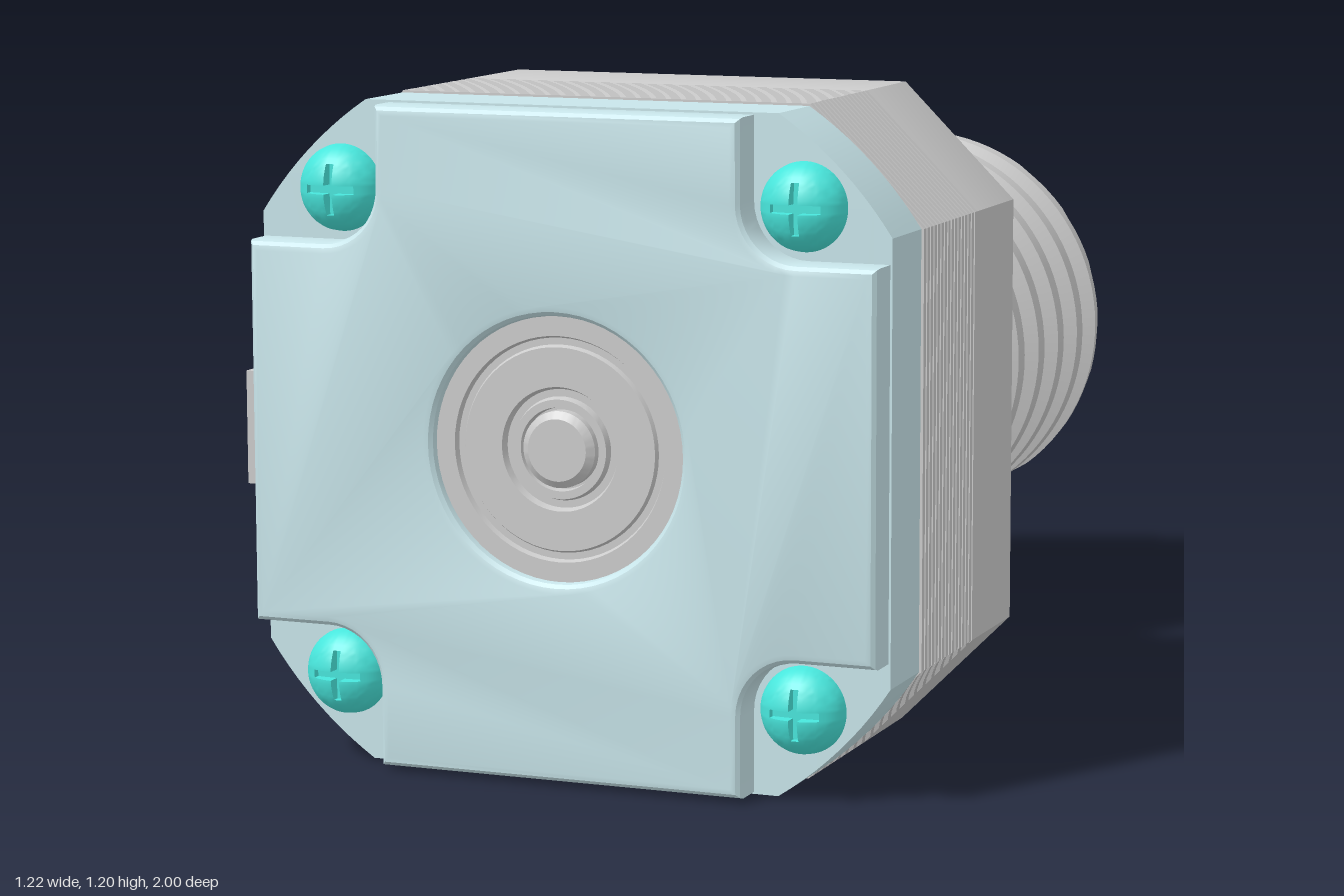
import * as THREE from 'three';
import { toCreasedNormals } from 'three/addons/utils/BufferGeometryUtils.js';
import { ParametricGeometry } from 'three/addons/geometries/ParametricGeometry.js';

const grey = new THREE.MeshStandardMaterial({ color: 0xcccccc });
const greyThin = new THREE.MeshStandardMaterial({ color: 0xcccccc, side: THREE.DoubleSide });
const pale = new THREE.MeshStandardMaterial({ color: 0xc8e5ea });
const teal = new THREE.MeshStandardMaterial({ color: 0x48e6dc });

const V = (x, y) => new THREE.Vector2(x, y);

function add(parent, name, geometry, material = grey, crease = 0.5) {
  const mesh = new THREE.Mesh(toCreasedNormals(geometry, crease), material);
  mesh.name = name;
  parent.add(mesh);
  return mesh;
}

// Extrusion along z from z0 to z1; the bevel stays inside the outline
function extrude(shape, z0, z1, bevel = 0) {
  const g = new THREE.ExtrudeGeometry(shape, {
    depth: z1 - z0 - 2 * bevel, curveSegments: 32, bevelEnabled: bevel > 0,
    bevelThickness: bevel, bevelSize: bevel, bevelOffset: -bevel, bevelSegments: 3,
  });
  return g.translate(0, 0, z0 + bevel);
}

// Lathe around z; points are [radius, z]
const lathe = (pts, n = 64) =>
  new THREE.LatheGeometry(pts.map(([r, z]) => V(r, z)), n).rotateX(Math.PI / 2);

function circleHole(shape, x, y, r) {
  shape.holes.push(new THREE.Path().absarc(x, y, r, 0, Math.PI * 2, true));
}

// Repeats one corner's points around the four corners
function fourfold(corner) {
  const pts = [];
  for (let k = 0; k < 4; k++)
    for (const p of corner) pts.push(p.clone().rotateAround(V(0, 0), k * Math.PI / 2));
  return pts;
}

const octagon = (h, c = 0.39) => new THREE.Shape(fourfold([V(h, c), V(c, h)]));

const SCREW = 0.438;
const corners = [[1, 1], [-1, 1], [-1, -1], [1, -1]].map(([x, y]) => [x * SCREW, y * SCREW]);

// Domed screw head with a sunken cross: a square grid mapped onto a disc
function screwHead() {
  const R = 0.078, w = 0.1, l = 0.58;
  const half = [0.05, w, w + 0.004, 0.2, 0.3, 0.42, 0.5, l, l + 0.004, 0.7, 0.8, 0.9, 0.96, 1];
  const lines = [...half.map(v => -v).reverse(), 0, ...half];
  const n = lines.length - 1;
  const g = new THREE.PlaneGeometry(n, n, n, n);
  const p = g.attributes.position;
  for (let i = 0; i < p.count; i++) {
    const u = lines[Math.round(p.getX(i) + n / 2)], v = lines[Math.round(p.getY(i) + n / 2)];
    const x = u * Math.sqrt(1 - v * v / 2), y = v * Math.sqrt(1 - u * u / 2);
    const a = Math.abs(u), b = Math.abs(v);
    const inCross = (a <= w && b <= l) || (b <= w && a <= l);
    const dome = 0.06 * Math.sqrt(Math.max(0, 1 - x * x - y * y));
    p.setXYZ(i, x * R, y * R, inCross ? 0.035 : dome);
  }
  return g;
}

function buildMotor() {
  const motor = new THREE.Group();
  motor.name = 'motor';

  // End bell with four threaded mounting holes
  const bell = octagon(0.6);
  for (const [x, y] of corners) circleHole(bell, x, y, 0.042);
  add(motor, 'endBell', extrude(bell, 0.26, 0.5, 0.012));
  const thread = [];
  for (let i = 0; i <= 16; i++) thread.push([i % 2 ? 0.034 : 0.043, 0.28 + i * 0.011]);
  for (const [x, y] of corners)
    add(motor, 'mountingThread', lathe(thread, 20), greyThin).position.set(x, y, 0);

  // Laminated stator stack
  add(motor, 'statorCore', extrude(octagon(0.588, 0.385), 0.47, 0.785));
  const plates = 16, pitch = 0.3 / plates;
  for (let i = 0; i < plates; i++)
    add(motor, 'statorPlate', extrude(octagon(0.6), 0.48 + i * pitch + 0.003, 0.48 + (i + 1) * pitch - 0.003));

  // Cover base with arc corners and a side slot for the connector
  const arc = [];
  const a0 = Math.atan2(0.39, 0.596), rad = Math.hypot(0.39, 0.596);
  for (let i = 0; i <= 10; i++) {
    const a = a0 + (Math.PI / 2 - 2 * a0) * i / 10;
    arc.push(V(rad * Math.cos(a), rad * Math.sin(a)));
  }
  const outline = fourfold(arc);
  outline.splice(22, 0, V(-0.596, 0.105), V(-0.46, 0.105), V(-0.46, -0.1), V(-0.596, -0.1));
  add(motor, 'coverBase', extrude(new THREE.Shape(outline), 0.78, 0.93), pale);

  // Raised cover face with scooped corners and bearing opening
  const h = 0.592, n = 0.345, c = 0.445;
  const scoop = [V(h, n)];
  for (let i = 0; i <= 10; i++) {
    const a = -Math.PI / 2 - i * Math.PI / 20;
    scoop.push(V(c + (c - n) * Math.cos(a), c + (c - n) * Math.sin(a)));
  }
  scoop.push(V(n, h));
  const face = new THREE.Shape(fourfold(scoop));
  circleHole(face, 0, 0, 0.235);
  add(motor, 'coverFace', extrude(face, 0.9, 1, 0.018), pale);

  // Bearing rings and rear shaft end
  add(motor, 'bearing', lathe([
    [0.24, 0.92], [0.24, 0.98], [0.2, 0.98], [0.196, 0.97], [0.184, 0.97], [0.18, 0.978],
    [0.11, 0.978], [0.105, 0.965], [0.092, 0.965], [0.088, 0.978], [0.074, 0.978], [0.072, 0.96],
    [0.068, 0.96], [0.068, 0.98], [0.055, 0.99], [0, 0.99],
  ]));

  // Cover screws
  const head = screwHead();
  for (const [x, y] of corners) add(motor, 'coverScrew', head, teal).position.set(x, y, 0.93);

  // Connector frame on the side (shape drawn in z, y)
  const frame = new THREE.Shape([V(-0.97, -0.1), V(-0.775, -0.1), V(-0.775, 0.105), V(-0.97, 0.105)]);
  frame.holes.push(new THREE.Path([V(-0.925, -0.06), V(-0.925, 0.065), V(-0.82, 0.065), V(-0.82, -0.06)]));
  add(motor, 'connector', extrude(frame, -0.615, -0.46).rotateY(Math.PI / 2).scale(1, 1, 1));

  // Pilot boss and output shaft
  add(motor, 'pilotBoss', lathe([[0, 0.2], [0.303, 0.2], [0.309, 0.206], [0.309, 0.28]]));
  add(motor, 'shaft', lathe([[0, 0.05], [0.067, 0.05], [0.067, 0.22]], 40));
  return motor;
}

function buildWorm() {
  const worm = new THREE.Group();
  worm.name = 'worm';

  // Single-start thread, clipped by a cone at each end
  const pitch = 0.134, root = 0.295, tip = 0.395, turns = 9;
  add(worm, 'wormThread', new ParametricGeometry((u, v, out) => {
    const a = u * Math.PI * 2;
    const t = -7.5 + v * turns;
    const f = Math.abs(t - Math.round(t));
    const z = THREE.MathUtils.clamp(-0.268 + pitch * (t + u), -1, -0.15);
    const r = Math.min(
      root + (tip - root) * THREE.MathUtils.clamp((0.4 - f) / 0.25, 0, 1),
      0.295 + (z + 1) * 1.6,
      0.28 + (-0.15 - z) * 2);
    out.set(r * Math.cos(a), r * Math.sin(a), z);
  }, 96, 20 * turns), grey, 0.6);

  // End face with centre bore
  add(worm, 'wormEnd', lathe([[0, -0.8], [0.055, -0.8], [0.055, -1], [0.295, -1]], 96));

  // Hub with a flat on top
  const R = 0.28, cut = 0.16, flat = 0.22;
  add(worm, 'hubCollar', lathe([[0, -0.17], [R, -0.17], [R, -0.125], [0, -0.125]]));
  const s = Math.asin(cut / R);
  const hub = new THREE.Shape().absarc(0, 0, R, Math.PI - s, Math.PI * 2 + s, false);
  add(worm, 'hub', extrude(hub, -0.13, 0.12));

  // Flat pad whose sides follow the hub, with the set screw hole
  const pad = new THREE.Shape([V(-0.23, -0.12), V(0.23, -0.12), V(0.23, 0.13), V(-0.23, 0.13)]);
  circleHole(pad, 0, 0, 0.055);
  const g = new THREE.ExtrudeGeometry(pad, { depth: flat - cut, steps: 5, bevelEnabled: false, curveSegments: 24 });
  g.rotateX(-Math.PI / 2).translate(0, cut, 0);
  const p = g.attributes.position;
  for (let i = 0; i < p.count; i++) {
    const x = p.getX(i), y = p.getY(i);
    if (Math.abs(x) > 0.1) p.setX(i, Math.sign(x) * Math.sqrt(R * R - y * y));
  }
  add(worm, 'hubFlat', g);
  return worm;
}

export function createModel() {
  const model = new THREE.Group();
  model.name = 'wormGearMotor';
  const motor = buildMotor(), worm = buildWorm();
  motor.position.set(0.004, 0.6, 0);
  worm.position.set(0.016, 0.597, 0);
  model.add(motor, worm);
  return model;
}
